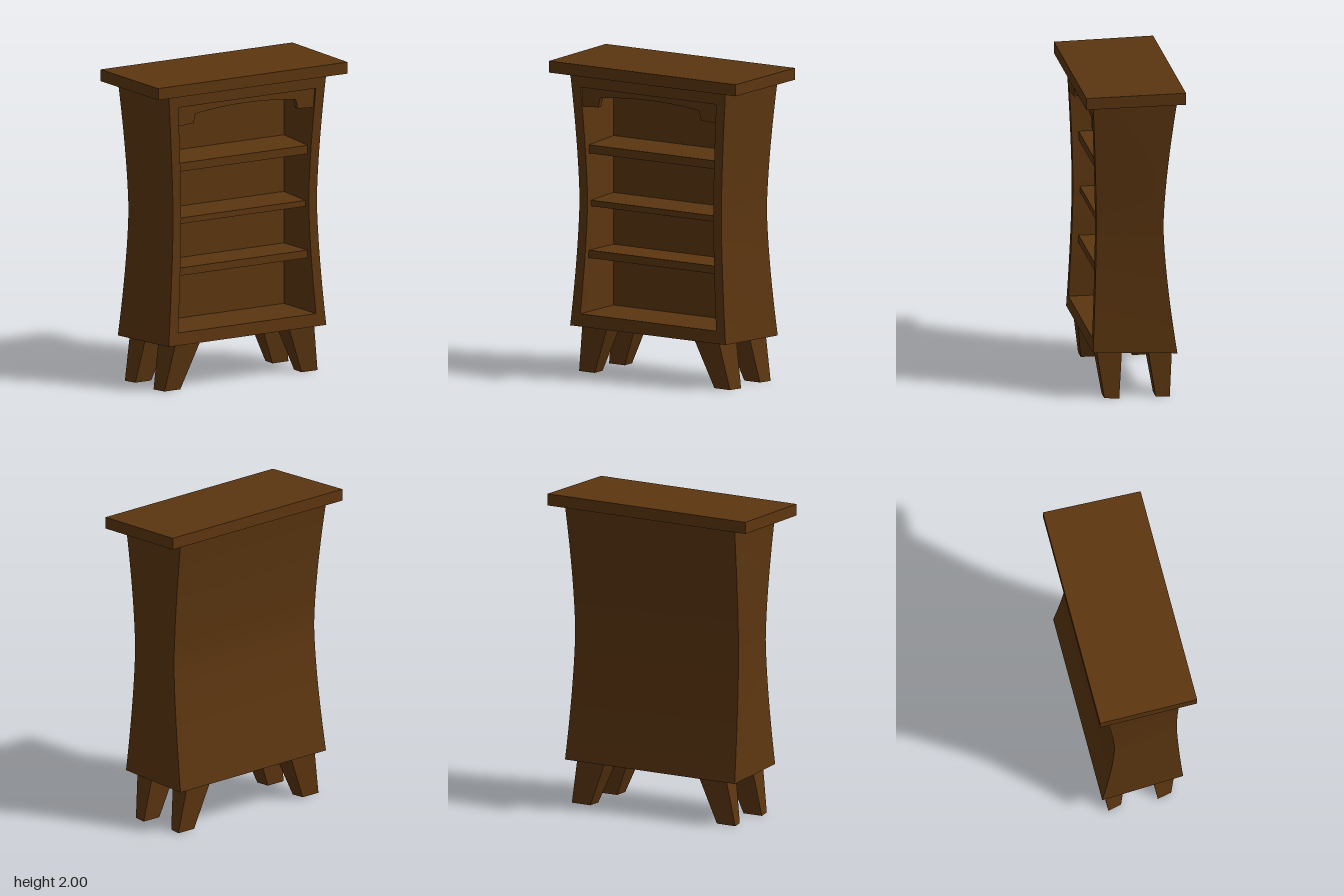
import * as THREE from 'three';
import { toCreasedNormals } from 'three/addons/utils/BufferGeometryUtils.js';

const wood = new THREE.MeshStandardMaterial({ color: 0x5c3610 });
wood.name = 'brown wood';

// quads: lists of four corners, counter-clockwise from outside
function fromQuads(quads) {
  const pos = [];
  for (const [a, b, c, d] of quads) pos.push(...a, ...b, ...c, ...a, ...c, ...d);
  const g = new THREE.BufferGeometry();
  g.setAttribute('position', new THREE.Float32BufferAttribute(pos, 3));
  return toCreasedNormals(g, 0.5);
}

// six-sided block from two rings of corners: front left, front right, back right, back left
function block(lo, hi) {
  const quads = [hi, [...lo].reverse()];
  for (let i = 0; i < 4; i++) {
    const j = (i + 1) % 4;
    quads.push([lo[i], lo[j], hi[j], hi[i]]);
  }
  return fromQuads(quads);
}

function add(group, name, geometry) {
  const mesh = new THREE.Mesh(geometry, wood);
  mesh.name = name;
  group.add(mesh);
}

// pinched profile of the case, v runs from bottom (0) to top (1)
const pinch = (v) => Math.abs(2 * v - 1) ** 1.5;
const yFront = (v) => 0.305 + 1.61 * v;
const zFront = (v) => 0.227 + 0.028 * pinch(v);
const openHalf = (v) => 0.483 + 0.046 * pinch(v);
const front = (s) => (v) => [s * (0.545 + 0.052 * pinch(v)), yFront(v), zFront(v)];
const back = (s) => (v) => [s * (0.6 + 0.023 * pinch(v)), 0.29 + 1.635 * v, -0.19 - 0.085 * pinch(v)];
const opening = (s) => (v) => [s * openHalf(v), yFront(v), zFront(v)];
const inner = (s) => (v) => [s * 0.53, yFront(v), -0.12];

function caseGeometry() {
  const v0 = 0.05, v1 = 0.947, n = 18;
  const mid = Array.from({ length: n + 1 }, (_, i) => v0 + (v1 - v0) * i / n);
  const all = [0, ...mid, 1];
  const quads = [];
  const strip = (left, right, vs) => {
    for (let i = 0; i + 1 < vs.length; i++) {
      quads.push([left(vs[i]), right(vs[i]), right(vs[i + 1]), left(vs[i + 1])]);
    }
  };
  const ring = (f, b, v) => [f(-1)(v), f(1)(v), b(1)(v), b(-1)(v)];
  // outer sides and back
  strip(front(1), back(1), all);
  strip(back(-1), front(-1), all);
  strip(back(1), back(-1), all);
  // front frame
  strip(opening(1), front(1), mid);
  strip(front(-1), opening(-1), mid);
  strip(front(-1), front(1), [0, v0]);
  strip(front(-1), front(1), [v1, 1]);
  // inside of the cavity
  strip(inner(1), opening(1), mid);
  strip(opening(-1), inner(-1), mid);
  strip(inner(-1), inner(1), mid);
  quads.push(ring(opening, inner, v0), ring(opening, inner, v1).reverse());
  // underside and top
  quads.push(ring(front, back, 0).reverse(), ring(front, back, 1));
  return fromQuads(quads);
}

// tapered leg splayed outwards; s mirrors it, z values run front to back
function leg(s, zTop, zFoot) {
  const ring = (y, inF, outF, inB, outB, [zf, zb]) => {
    const c = [[inF, y, zf], [outF, y, zf], [outB, y, zb], [inB, y, zb]];
    return s > 0 ? c : [1, 0, 3, 2].map((i) => [-c[i][0], c[i][1], c[i][2]]);
  };
  return block(
    ring(0.005, 0.46, 0.58, 0.465, 0.6, zFoot),
    ring(0.31, 0.335, 0.525, 0.34, 0.545, zTop)
  );
}

export function createModel() {
  const model = new THREE.Group();
  model.name = 'bookcase';

  add(model, 'case', caseGeometry());

  // slightly tilted top slab
  const slab = (yf, yb) => [[-0.717, yf, 0.315], [0.717, yf, 0.315], [0.727, yb, -0.315], [-0.727, yb, -0.315]];
  add(model, 'topBoard', block(slab(1.912, 1.925), slab(1.986, 2)));

  // shelves: bottom and top at the front edge, rise towards the back
  for (const [lo, hi, rise] of [[1.402, 1.456, 0.01], [1.065, 1.103, 0], [0.735, 0.785, -0.012]]) {
    const v = ((lo + hi) / 2 - 0.305) / 1.61;
    const x = openHalf(v) + 0.012;
    const z = zFront(v) - 0.045;
    const ring = (y) => [[-x, y, z], [x, y, z], [0.535, y + rise, -0.125], [-0.535, y + rise, -0.125]];
    add(model, 'shelf', block(ring(lo), ring(hi)));
  }

  // arched apron under the top rail
  const shape = new THREE.Shape();
  shape.moveTo(-0.53, 1.84);
  shape.lineTo(-0.52, 1.705);
  shape.lineTo(-0.395, 1.712);
  shape.lineTo(-0.38, 1.772);
  shape.quadraticCurveTo(0, 1.822, 0.38, 1.772);
  shape.lineTo(0.395, 1.712);
  shape.lineTo(0.52, 1.705);
  shape.lineTo(0.53, 1.84);
  const apron = new THREE.ExtrudeGeometry(shape, { depth: 0.03, bevelEnabled: false, curveSegments: 16 });
  apron.translate(0, 0, 0.205);
  add(model, 'archedApron', apron);

  for (const s of [1, -1]) {
    const side = s > 0 ? 'left' : 'right';
    add(model, side + 'FrontLeg', leg(s, [0.225, 0.065], [0.182, 0.09]));
    add(model, side + 'BackLeg', leg(s, [-0.1, -0.252], [-0.143, -0.23]));
  }
  return model;
}
